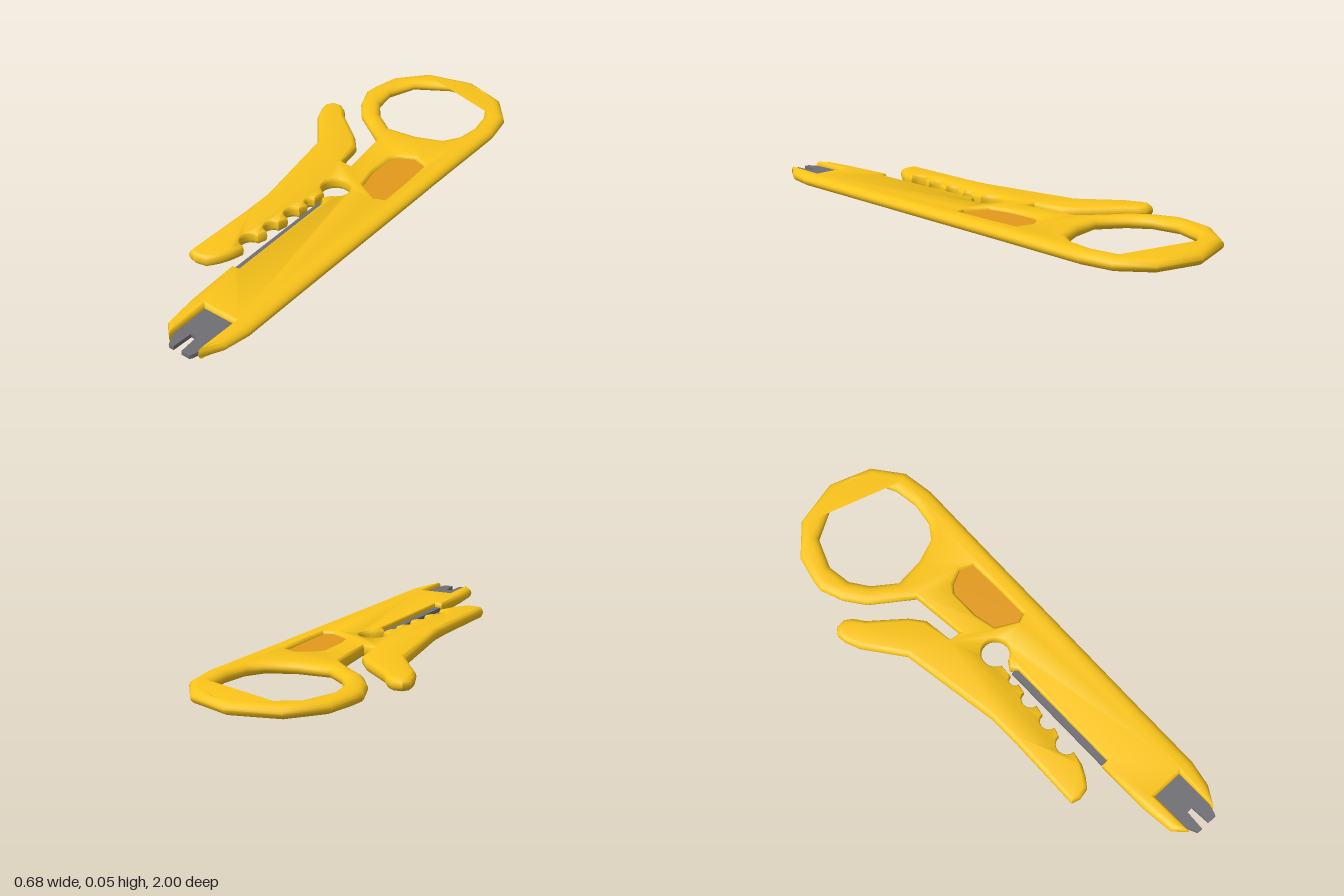
import * as THREE from 'three';
import { toCreasedNormals } from 'three/addons/utils/BufferGeometryUtils.js';

const yellow = new THREE.MeshStandardMaterial({ color: 0xfac41a });
const orange = new THREE.MeshStandardMaterial({ color: 0xe39a1c });
const steel = new THREE.MeshStandardMaterial({ color: 0x707074 });

// Give each [x, z] point the same edge rounding width w
const edge = (w, pts) => pts.map(([x, z]) => ({ x, z, w }));

// Points along an arc in the x/z plane, angles in degrees
function arc(cx, cz, r, from, to, n, w) {
  return Array.from({ length: n + 1 }, (_, i) => {
    const a = THREE.MathUtils.degToRad(from + (to - from) * i / n);
    return { x: cx + r * Math.cos(a), z: cz + r * Math.sin(a), w };
  });
}

// Move a loop into the material by w * k, mitred at the corners
function inset(loop, k) {
  return loop.map((p, i) => {
    const a = loop.at(i - 1), b = loop[(i + 1) % loop.length];
    const n1 = new THREE.Vector2(a.z - p.z, p.x - a.x).normalize();
    const n2 = new THREE.Vector2(p.z - b.z, b.x - p.x).normalize();
    const m = p.w * k / Math.max(0.6, 1 + n1.dot(n2));
    return new THREE.Vector2(p.x + (n1.x + n2.x) * m, p.z + (n1.y + n2.y) * m);
  });
}

// Flat plate with elliptically rounded rims; loops[0] is the outline, the rest are holes
function roundedPlate(loops, y0, y1, steps = 8) {
  loops = loops.map((loop, i) => {
    const clockwise = THREE.ShapeUtils.isClockWise(loop.map(p => new THREE.Vector2(p.x, p.z)));
    return clockwise === (i > 0) ? loop : [...loop].reverse();
  });
  const count = loops.reduce((s, l) => s + l.length, 0);
  const pos = [], index = [];
  let rings;
  for (let s = 0; s <= steps; s++) {
    const phi = (s / steps - 0.5) * Math.PI;
    const y = (y0 + y1) / 2 + Math.sin(phi) * (y1 - y0) / 2;
    rings = loops.map(l => inset(l, 1 - Math.cos(phi)));
    rings.flat().forEach(p => pos.push(p.x, y, p.y));
  }
  // rim walls
  for (let s = 0; s < steps; s++) {
    let start = s * count;
    for (const loop of loops) {
      for (let i = 0; i < loop.length; i++) {
        const a = start + i, b = start + (i + 1) % loop.length;
        index.push(a, a + count, b + count, a, b + count, b);
      }
      start += loop.length;
    }
  }
  // bottom and top faces
  const top = steps * count;
  for (const [a, b, c] of THREE.ShapeUtils.triangulateShape(rings[0], rings.slice(1))) {
    index.push(a, b, c, top + a, top + c, top + b);
  }
  const geo = new THREE.BufferGeometry();
  geo.setAttribute('position', new THREE.Float32BufferAttribute(pos, 3));
  geo.setIndex(index);
  return toCreasedNormals(geo, 0.75);
}

function add(group, name, geometry, material) {
  const mesh = new THREE.Mesh(geometry, material);
  mesh.name = name;
  group.add(mesh);
  return mesh;
}

export function createModel() {
  const group = new THREE.Group();
  group.name = 'wireStripper';

  // One-piece body: finger ring, handle, hinge and spring lever
  const outline = [
    // ring top and outer side of the handle
    ...edge(0.034, [[0.06, -1], [0.23, -0.945], [0.32, -0.83], [0.34, -0.7], [0.33, -0.3],
      [0.325, 0], [0.315, 0.5], [0.31, 0.8], [0.29, 0.9]]),
    // forked tip
    ...edge(0.014, [[0.24, 0.975], [0.24, 0.8], [0.113, 0.8], [0.113, 0.975]]),
    ...edge(0.025, [[0.065, 0.93], [0.05, 0.8]]),
    // inner edge holding the cutting blade
    ...edge(0.006, [[0.05, 0.585], [0.078, 0.58], [0.078, 0.1], [0.055, 0.075]]),
    // hinge hole
    ...arc(0.06, -0.01, 0.055, 72, -252, 20, 0.006),
    // stripping notches
    ...edge(0.004, [[0.04, 0.075]]),
    ...arc(0.04, 0.12, 0.022, 270, 90, 6, 0.006),
    ...arc(0.032, 0.215, 0.034, 270, 90, 8, 0.006),
    ...arc(0.023, 0.325, 0.033, 270, 90, 8, 0.006),
    ...arc(0.01, 0.435, 0.04, 270, 90, 8, 0.006),
    // lever nose, outer side and thumb end
    ...edge(0.015, [[0, 0.53], [-0.02, 0.57], [-0.05, 0.61], [-0.095, 0.62], [-0.13, 0.61]]),
    ...edge(0.02, [[-0.125, 0.3], [-0.128, 0.17], [-0.16, -0.02], [-0.195, -0.23], [-0.31, -0.38],
      [-0.335, -0.44], [-0.34, -0.475], [-0.32, -0.505], [-0.28, -0.51], [-0.25, -0.49],
      [-0.22, -0.45], [-0.09, -0.345], [-0.045, -0.29]]),
    // slit between lever and handle
    ...edge(0.01, [[-0.03, -0.17], [0.015, -0.165], [0, -0.3], [-0.01, -0.39]]),
    // outer side of the ring
    ...edge(0.032, [[-0.1, -0.45], [-0.17, -0.5], [-0.23, -0.58], [-0.265, -0.67],
      [-0.26, -0.72], [-0.235, -0.83], [-0.13, -0.95]]),
  ];
  const fingerHole = edge(0.032, [[0.07, -0.93], [0, -0.92], [-0.13, -0.84], [-0.175, -0.72],
    [-0.16, -0.62], [-0.11, -0.55], [-0.02, -0.485], [0.1, -0.5], [0.2, -0.54], [0.24, -0.6],
    [0.255, -0.7], [0.24, -0.8], [0.2, -0.88], [0.13, -0.925]]);
  const pocketPoints = [[0.13, -0.33], [0.19, -0.36], [0.245, -0.34], [0.25, -0.2], [0.25, -0.06],
    [0.215, -0.045], [0.13, -0.09], [0.11, -0.18], [0.11, -0.3]];
  const pocket = edge(0.012, pocketPoints);
  add(group, 'body', roundedPlate([outline, fingerHole, pocket], 0, 0.048), yellow);

  // Sunken panel filling the pocket
  add(group, 'pocketPanel', roundedPlate([edge(0, pocketPoints)], 0.012, 0.036, 1), orange);

  // Long cutting blade along the slit
  const cutter = add(group, 'cuttingBlade', new THREE.BoxGeometry(0.032, 0.016, 0.49), steel);
  cutter.position.set(0.069, 0.022, 0.335);

  // Notched punch-down blade at the tip
  const punch = edge(0, [[0.111, 0.79], [0.242, 0.79], [0.242, 0.95], [0.23, 0.99], [0.225, 1],
    [0.19, 1], [0.185, 0.92], [0.16, 0.92], [0.155, 1], [0.135, 1], [0.113, 0.955]]);
  add(group, 'punchBlade', roundedPlate([punch], 0.014, 0.03, 1), steel);

  return group;
}
